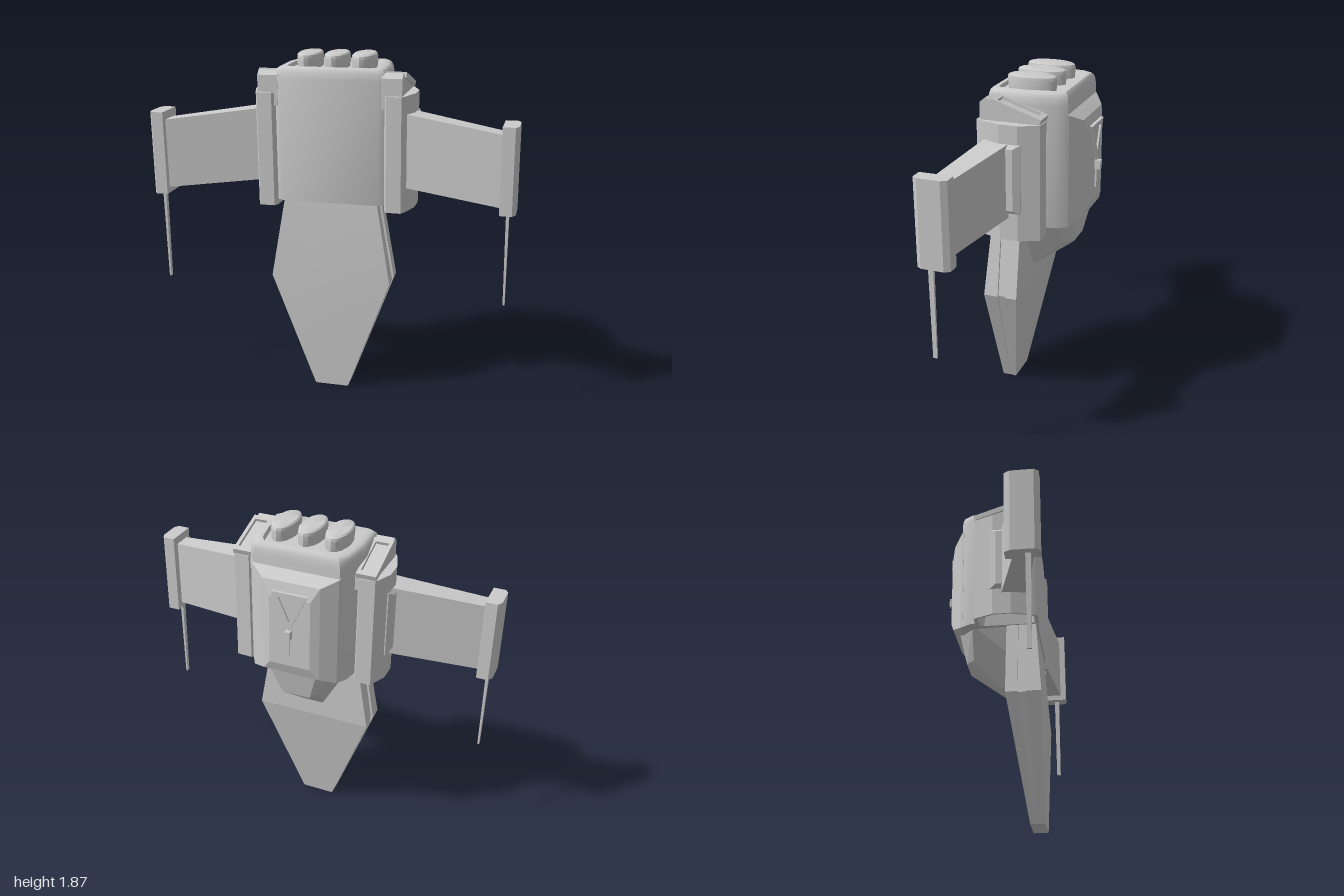
import * as THREE from 'three';
import { toCreasedNormals } from 'three/addons/utils/BufferGeometryUtils.js';
import { ConvexGeometry } from 'three/addons/geometries/ConvexGeometry.js';

const grey = new THREE.MeshStandardMaterial({ color: 0xcccccc });

function add(parent, name, geometry, x = 0, y = 0, z = 0) {
  const mesh = new THREE.Mesh(geometry, grey);
  mesh.name = name;
  mesh.position.set(x, y, z);
  parent.add(mesh);
  return mesh;
}

// Skin a list of equal-length point loops and close both ends; winding is fixed by signed volume.
function loft(loops, crease = 0.4) {
  const tris = [];
  const n = loops[0].length;
  for (let i = 0; i + 1 < loops.length; i++) {
    for (let j = 0; j < n; j++) {
      const k = (j + 1) % n, a = loops[i], b = loops[i + 1];
      tris.push([a[j], a[k], b[k]], [a[j], b[k], b[j]]);
    }
  }
  const cap = (loop, flip) => {
    const c = [0, 1, 2].map((d) => loop.reduce((s, p) => s + p[d], 0) / n);
    loop.forEach((p, j) => {
      const q = loop[(j + 1) % n];
      tris.push(flip ? [c, q, p] : [c, p, q]);
    });
  };
  cap(loops[0], true);
  cap(loops[loops.length - 1], false);
  const vec = (p) => new THREE.Vector3(...p);
  const volume = tris.reduce((s, [a, b, c]) => s + vec(a).dot(vec(b).cross(vec(c))), 0);
  const flat = tris.flatMap(([a, b, c]) => (volume < 0 ? [a, c, b] : [a, b, c])).flat();
  const g = new THREE.BufferGeometry();
  g.setAttribute('position', new THREE.Float32BufferAttribute(flat, 3));
  return toCreasedNormals(g, crease);
}

// Horizontal section from a half outline [x, z], mirrored in x
const mirrored = (half) => [...half, ...half.map(([x, z]) => [-x, z]).reverse()];
const level = (outline, y, k = 1, cx = 0, cz = 0) =>
  outline.map(([x, z]) => [cx + (x - cx) * k, y, cz + (z - cz) * k]);
// Rectangles in each of the three planes
const rectY = (y, x, z0, z1) => [[-x, y, z0], [x, y, z0], [x, y, z1], [-x, y, z1]];
const rectX = (x, y0, y1, z0, z1) => [[x, y0, z0], [x, y1, z0], [x, y1, z1], [x, y0, z1]];
const rectZ = (z, x, y0, y1) => [[-x, y0, z], [x, y0, z], [x, y1, z], [-x, y1, z]];

function addBody(g) {
  // Main housing with rounded top edge and a shallow recessed deck
  const outline = mirrored([[0.265, 0.215], [0.3, 0.195], [0.305, 0], [0.275, -0.16], [0.24, -0.21]]);
  add(g, 'mainHousing', loft([
    level(outline, 1.08), level(outline, 1.74), level(outline, 1.775, 0.98),
    level(outline, 1.795, 0.95), level(outline, 1.805, 0.9),
    level(outline, 1.805, 0.8), level(outline, 1.785, 0.77),
  ], 0.6));

  // Three oval caps on the deck
  const profile = [[0, 0], [0.062, 0], [0.065, 0.06], [0.062, 0.075], [0.054, 0.082], [0, 0.082]]
    .map(([r, y]) => new THREE.Vector2(r, y));
  for (const x of [-0.15, 0, 0.15]) {
    const cap = toCreasedNormals(new THREE.LatheGeometry(profile, 16).scale(1, 1, 2.1), 0.6);
    add(g, 'topCap', cap, x, 1.782, 0.015);
  }

  // Faceted back cover
  add(g, 'backCover', loft([
    rectZ(-0.2, 0.25, 1.08, 1.7), rectZ(-0.215, 0.24, 1.08, 1.69),
    rectZ(-0.268, 0.16, 1.11, 1.65), rectZ(-0.288, 0.115, 1.17, 1.57),
  ], 0.1));

  // Tapered vent frame and latch on the back cover
  const vent = new THREE.Shape([[-0.1, 1.6], [0, 1.38], [0.1, 1.6]].map((p) => new THREE.Vector2(...p)));
  vent.holes.push(new THREE.Path([[-0.06, 1.575], [0.06, 1.575], [0, 1.44]].map((p) => new THREE.Vector2(...p))));
  add(g, 'backVent', new THREE.ExtrudeGeometry(vent, { depth: 0.025, bevelEnabled: false }), 0, 0, -0.298);
  add(g, 'latch', new THREE.BoxGeometry(0.03, 0.05, 0.04), 0, 1.365, -0.3);
  add(g, 'latchPin', new THREE.BoxGeometry(0.01, 0.11, 0.015), 0, 1.29, -0.29);

  // Faceted exhaust fairing under the housing
  const fairing = [];
  for (const s of [-1, 1]) {
    for (const [x, y, z] of [[0.23, 1.1, 0.1], [0.22, 1.1, -0.15], [0.13, 1.1, -0.235], [0.17, 0.93, 0.06],
      [0.12, 0.935, -0.155], [0.08, 0.93, -0.2], [0.06, 0.74, 0.045], [0.06, 0.74, 0.09]]) {
      fairing.push(new THREE.Vector3(s * x, y, z));
    }
  }
  add(g, 'exhaustFairing', new ConvexGeometry(fairing));
}

// Tail blade: three stacked kite-shaped plates
function addTail(g) {
  const plates = [
    ['tailFrontPlate', 1, [0.155, 0.205], [0.155, 0.235], [0.18, 0.225]],
    ['tailCore', 0.96, [0.1, 0.16], [0.1, 0.16], [0.16, 0.185]],
    ['tailBackPlate', 1, [0.045, 0.11], [0.045, 0.11], [0.145, 0.17]],
  ];
  for (const [name, k, top, mid, low] of plates) {
    add(g, name, loft([
      rectY(1.1, 0.255 * k, ...top), rectY(0.645, 0.333 * k, ...mid), rectY(0, 0.094 * k, ...low),
    ], 0.1));
  }
}

function addSide(g, s) {
  const side = new THREE.Group();
  side.name = s > 0 ? 'leftSide' : 'rightSide';
  g.add(side);
  const flip = (loops) => loops.map((l) => l.map(([x, y, z]) => [s * x, y, z]));

  // Faceted pack with a hollow underside
  const pack = [[0.295, 0.2], [0.31, 0.228], [0.39, 0.228], [0.405, 0.2], [0.44, 0.09], [0.44, -0.01],
    [0.395, -0.115], [0.31, -0.118], [0.295, -0.09]];
  add(side, 'sidePack', loft(flip([
    level(pack, 1.12, 0.8, 0.365, 0.055), level(pack, 1.05, 0.88, 0.365, 0.055),
    level(pack, 1.05), level(pack, 1.67),
  ]), 0.2));

  // Shoulder intake: sloping wedge carrying a slotted frame
  const wedge = (x) => [[x, 1.6, 0.21], [x, 1.76, 0.21], [x, 1.785, 0.18], [x, 1.765, 0.13],
    [x, 1.685, -0.11], [x, 1.6, -0.11]];
  add(side, 'shoulderIntake', loft(flip([wedge(0.28), wedge(0.39)]), 0.3));
  const frame = new THREE.Shape([[-0.055, -0.14], [0.055, -0.14], [0.055, 0.14], [-0.055, 0.14]]
    .map((p) => new THREE.Vector2(...p)));
  frame.holes.push(new THREE.Path([[-0.036, -0.11], [-0.036, 0.11], [0.036, 0.11], [0.036, -0.11]]
    .map((p) => new THREE.Vector2(...p))));
  const rim = add(side, 'intakeFrame',
    new THREE.ExtrudeGeometry(frame, { depth: 0.03, bevelEnabled: false }), s * 0.345, 1.715, 0.02);
  rim.rotation.x = -Math.PI / 2 - 0.32;

  // Wing panel with its root block
  add(side, 'wing', loft(flip([
    rectX(0.4, 1.18, 1.575, 0.03, 0.18), rectX(0.93, 1.125, 1.505, 0.165, 0.265),
  ]), 0.1));
  add(side, 'wingRootBlock', loft(flip([
    rectX(0.4, 1.2, 1.57, -0.03, 0.07), rectX(0.44, 1.2, 1.57, -0.025, 0.07),
    rectX(0.46, 1.22, 1.55, 0.01, 0.07),
  ]), 0.1));

  // Tip pod with chamfered outer edges
  const pod = [[0.91, 0.12], [0.975, 0.12], [0.992, 0.15], [0.992, 0.27], [0.975, 0.295], [0.91, 0.295]];
  add(side, 'tipPod', loft(flip([level(pod, 1.095), level(pod, 1.553)]), 0.1));

  // Thin rod hanging from the pod
  const rod = (y, w, d) => [[0.95 - w, y, 0.235 - d], [0.95 + w, y, 0.235 - d],
    [0.95 + w, y, 0.235 + d], [0.95 - w, y, 0.235 + d]];
  add(side, 'rod', loft(flip([rod(1.1, 0.008, 0.014), rod(0.59, 0.005, 0.011)]), 0.1));
}

export function createModel() {
  const model = new THREE.Group();
  model.name = 'jetPack';
  // Everything hangs from a pivot with a very slight lean
  const pivot = new THREE.Group();
  pivot.name = 'assembly';
  pivot.position.y = 1.4;
  pivot.rotation.set(0, -0.018, 0.011);
  model.add(pivot);
  const parts = new THREE.Group();
  parts.name = 'parts';
  parts.position.y = -1.4;
  pivot.add(parts);

  addBody(parts);
  addTail(parts);
  for (const s of [1, -1]) addSide(parts, s);
  return model;
}
